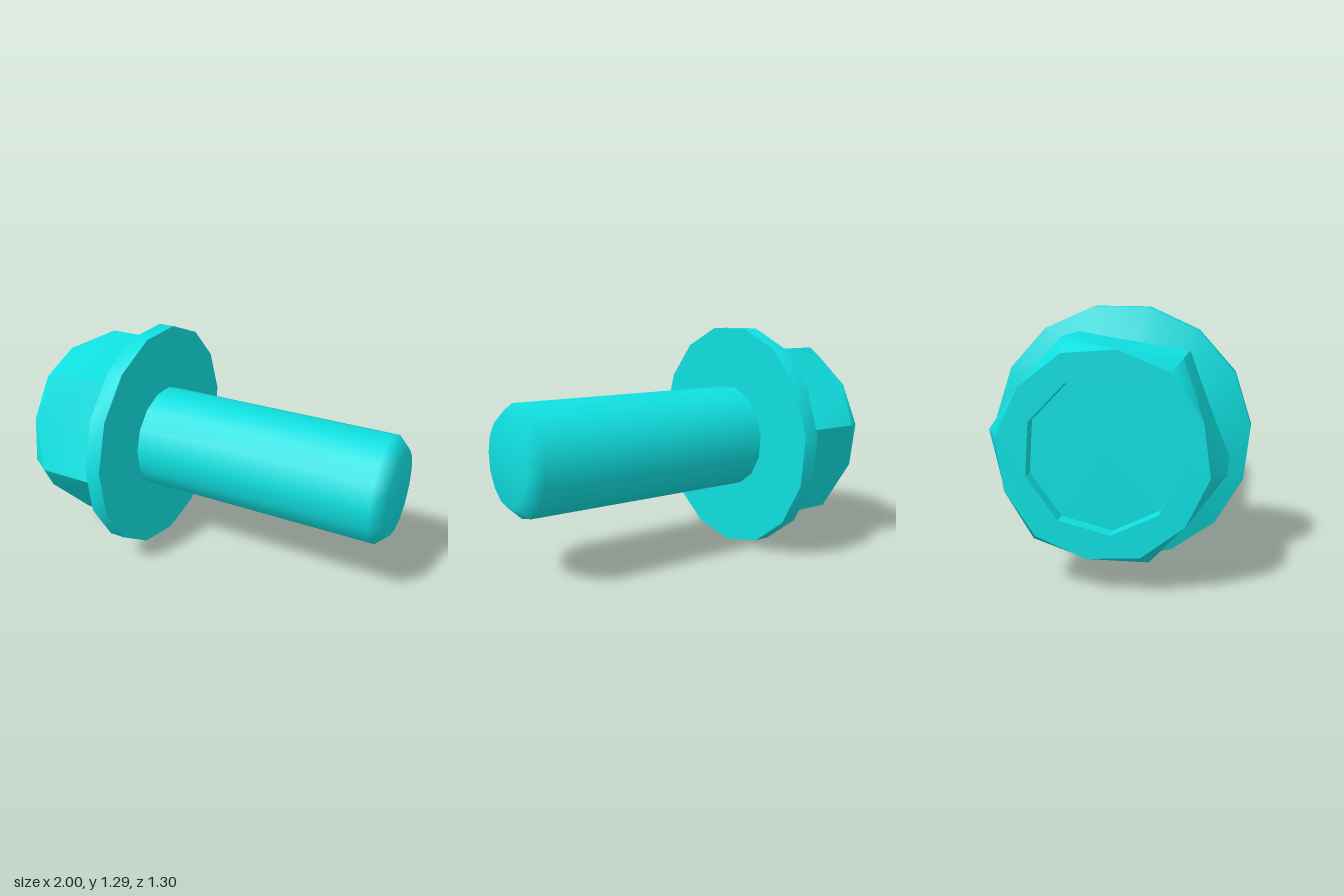
import * as THREE from 'three';
import { toCreasedNormals } from 'three/addons/utils/BufferGeometryUtils.js';

const AXIS_Y = 0.652;
const rad = THREE.MathUtils.degToRad;
const CORNER = 51;                    // direction of one hexagon corner, degrees
const HEX_R = 0.557, FLAT_R = HEX_R * Math.cos(Math.PI / 6);
const RIM_R = 0.49;                   // head end rim at the corners
const SOCKET_R = 0.362, SOCKET_START = -4;

// Profile of [x, radius] turned around the x axis; start is the angle from +z towards +y.
function turned(profile, sides, start) {
  const points = profile.map(([x, r]) => new THREE.Vector2(r, x));
  return new THREE.LatheGeometry(points, sides, -rad(start)).rotateZ(-Math.PI / 2);
}

function ringPoints(count, start, radius) {
  return Array.from({ length: count }, (_, i) => {
    const a = rad(start + (360 / count) * i);
    return new THREE.Vector2(Math.cos(a) * radius(i), Math.sin(a) * radius(i));
  });
}

// Hexagonal sides with a conical chamfer: even columns are corners, odd ones mid-flats.
function hexSides() {
  const geometry = turned([[-1, 1], [-0.9, 1], [-0.5, 1]], 12, CORNER);
  const pos = geometry.attributes.position;
  for (let i = 0; i < pos.count; i++) {
    const row = i % 3, corner = Math.floor(i / 3) % 2 === 0;
    const r = corner ? (row === 0 ? RIM_R : HEX_R) : FLAT_R;
    const x = [-1, corner ? -0.89 : -0.99, -0.5][row];
    pos.setXYZ(i, x, pos.getY(i) * r, pos.getZ(i) * r);
  }
  return toCreasedNormals(geometry, 0.65);
}

// Flat end of the head with the socket opening
function headFace() {
  const shape = new THREE.Shape(ringPoints(12, CORNER, i => (i % 2 ? FLAT_R : RIM_R)));
  shape.holes.push(new THREE.Path(ringPoints(9, SOCKET_START, () => SOCKET_R)));
  return new THREE.ShapeGeometry(shape).rotateY(-Math.PI / 2).translate(-1, 0, 0);
}

export function createModel() {
  const group = new THREE.Group();
  group.name = 'flangeBolt';
  const material = new THREE.MeshStandardMaterial({ color: 0x10dfe0 });
  const add = (name, geometry) => {
    const mesh = new THREE.Mesh(geometry, material);
    mesh.name = name;
    mesh.position.y = AXIS_Y;
    group.add(mesh);
  };

  add('hexHead', hexSides());
  add('headFace', headFace());

  // Shallow recess: floor and wall
  add('socket', toCreasedNormals(
    turned([[-0.93, 0], [-0.93, SOCKET_R], [-1, SOCKET_R]], 9, SOCKET_START), 0.65));

  // Washer flange, sloped towards the head
  add('flange', toCreasedNormals(
    turned([[-0.59, 0.45], [-0.51, 0.652], [-0.42, 0.652], [-0.42, 0]], 15, -90.5), 0.6));

  // Shank with softly shaded chamfered tip
  add('shank', turned([[-0.43, 0.296], [0.93, 0.296], [1, 0.23], [1, 0]], 15, -90.5));

  return group;
}
